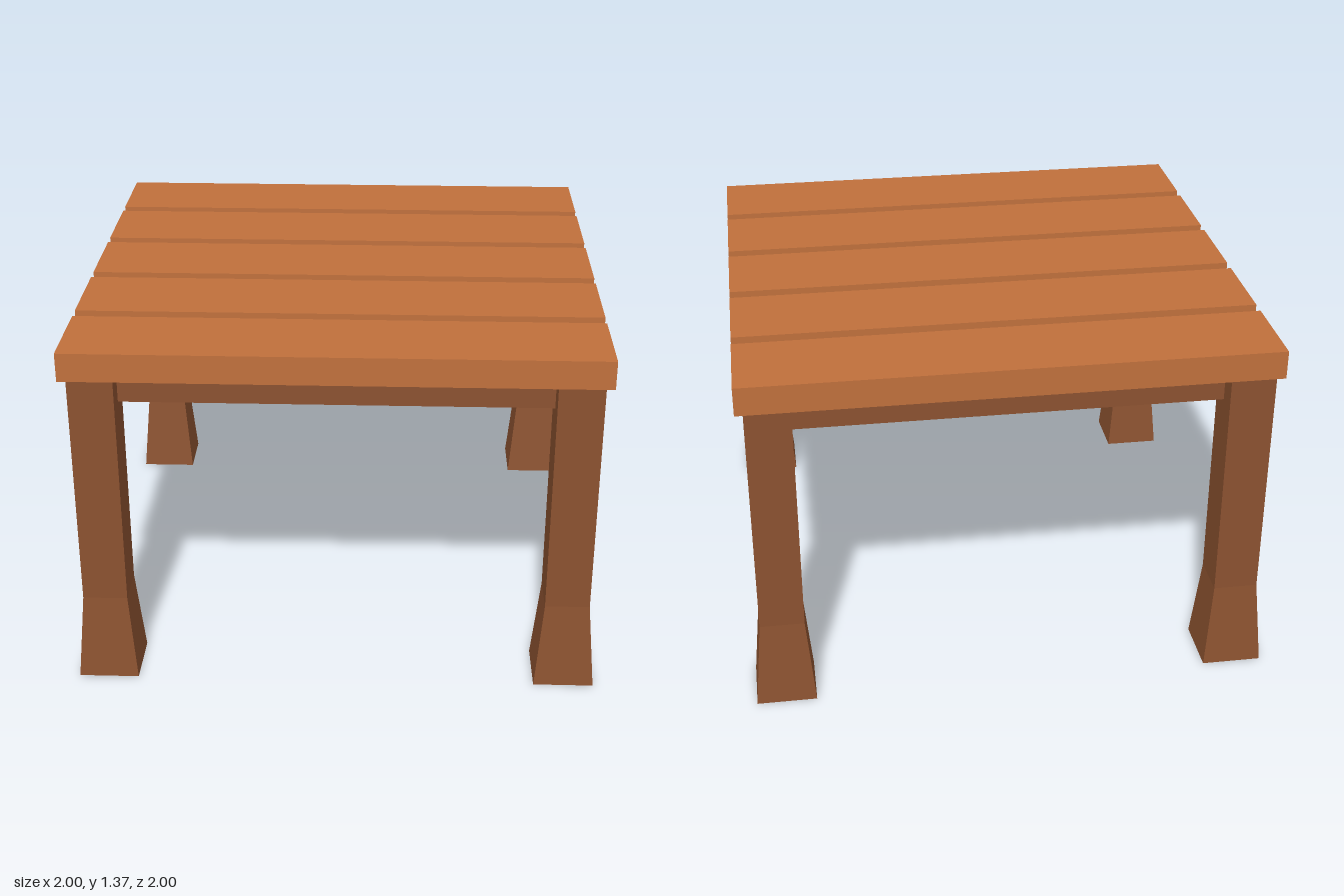
import * as THREE from 'three';

const plankMat = new THREE.MeshStandardMaterial({ color: 0xc0703c, flatShading: true });
const frameMat = new THREE.MeshStandardMaterial({ color: 0x8c5230, flatShading: true });

function box(name, mat, w, h, d, x, y, z) {
  const mesh = new THREE.Mesh(new THREE.BoxGeometry(w, h, d), mat);
  mesh.name = name;
  mesh.position.set(x, y, z);
  return mesh;
}

// Square post whose lower part flares out to a wider foot
function legGeometry() {
  const height = 1.26, flareTop = 0.34, flare = 0.115 / 0.085;
  const geo = new THREE.BoxGeometry(0.17, height, 0.17, 1, 2, 1).translate(0, height / 2, 0);
  const p = geo.attributes.position;
  for (let i = 0; i < p.count; i++) {
    const y = p.getY(i);
    if (y < 0.01) p.setXYZ(i, p.getX(i) * flare, 0, p.getZ(i) * flare);
    else if (y < height - 0.01) p.setY(i, flareTop);
  }
  geo.computeVertexNormals();
  return geo;
}

export function createModel() {
  const table = new THREE.Group();
  table.name = 'slattedTable';

  // Table top: five planks with gaps
  for (let i = -2; i <= 2; i++) {
    table.add(box('plank', plankMat, 2, 0.11, 0.35, 0, 1.315, i * 0.404));
  }

  // Four legs
  const legGeo = legGeometry();
  for (const x of [-1, 1]) {
    for (const z of [-1, 1]) {
      const leg = new THREE.Mesh(legGeo, frameMat);
      leg.name = 'leg';
      leg.position.set(x * 0.885, 0, z * 0.885);
      table.add(leg);
    }
  }

  // Side rails flush with the legs, front and back rails set back
  for (const s of [-1, 1]) {
    table.add(box('sideRail', frameMat, 0.09, 0.115, 1.6, s * 0.925, 1.2025, 0));
    table.add(box(s > 0 ? 'frontRail' : 'backRail', frameMat, 1.6, 0.115, 0.09, 0, 1.1975, s * 0.845));
  }

  return table;
}
